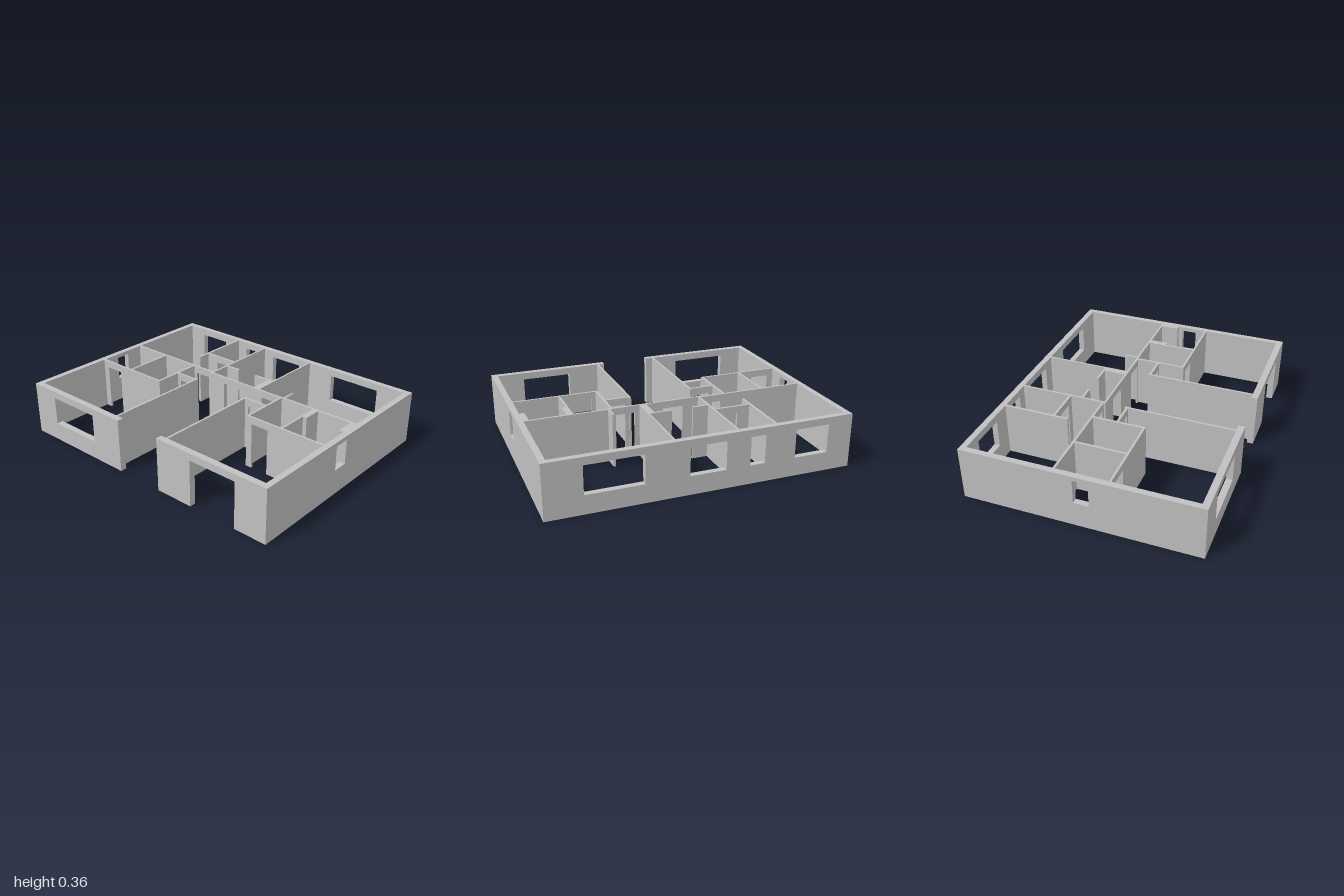
import * as THREE from 'three';

const HEIGHT = 0.363, HEAD = 0.315;

// Upright wall panel in length/height; doors notch the base, windows are holes.
function panel(from, to, thickness, openings, height) {
  const shape = new THREE.Shape();
  shape.moveTo(from, 0);
  const doors = openings.filter(o => o[2] === 0).sort((a, b) => a[0] - b[0]);
  for (const [a, b, , top] of doors) {
    shape.lineTo(a, 0);
    shape.lineTo(a, top);
    shape.lineTo(b, top);
    shape.lineTo(b, 0);
  }
  shape.lineTo(to, 0);
  shape.lineTo(to, height);
  shape.lineTo(from, height);
  shape.closePath();
  for (const [a, b, low, top] of openings.filter(o => o[2] > 0)) {
    const hole = new THREE.Path();
    hole.moveTo(a, low);
    hole.lineTo(a, top);
    hole.lineTo(b, top);
    hole.lineTo(b, low);
    hole.closePath();
    shape.holes.push(hole);
  }
  return new THREE.ExtrudeGeometry(shape, { depth: thickness, bevelEnabled: false });
}

const door = (a, b) => [a, b, 0, HEAD];
const win = (a, b, low = 0.125, top = HEAD) => [a, b, low, top];

export function createModel() {
  const house = new THREE.Group();
  house.name = 'floorPlan';
  const plaster = new THREE.MeshStandardMaterial({ color: 0xc0c0c0 });
  plaster.name = 'grey plaster';

  // Wall running along x, between depths z0 and z1
  function wallX(name, x0, x1, z0, z1, openings = [], height = HEIGHT) {
    const geometry = panel(x0, x1, z1 - z0, openings, height);
    geometry.translate(0, 0, z0);
    add(name, geometry);
  }
  // Wall running along z, between sides x0 and x1
  function wallZ(name, x0, x1, z0, z1, openings = [], height = HEIGHT) {
    const geometry = panel(z0, z1, x1 - x0, openings, height);
    geometry.rotateY(-Math.PI / 2);
    geometry.translate(x1, 0, 0);
    add(name, geometry);
  }
  function add(name, geometry) {
    const mesh = new THREE.Mesh(geometry, plaster);
    mesh.name = name;
    house.add(mesh);
  }

  // Outer shell
  wallX('backWall', -1, 1, -0.778, -0.738,
    [win(-0.83, -0.6), win(-0.39, -0.29), win(-0.13, 0.107), win(0.39, 0.76)]);
  wallX('frontWallWindowSide', -1, -0.17, 0.735, 0.778, [win(-0.8, -0.415)]);
  wallX('frontWallDoorSide', 0.167, 1, 0.735, 0.778, [door(0.435, 0.775)]);
  wallZ('sideWallWindowSide', -1, -0.96, -0.738, 0.735, [win(-0.03, 0.07, 0.17, 0.335)]);
  wallZ('sideWallDoorSide', 0.96, 1, -0.738, 0.735, [win(0.01, 0.115, 0.17, 0.335)]);

  // Back rooms
  wallZ('bedroomPartition', -0.483, -0.466, -0.738, -0.295);
  wallX('washroomWall', -0.466, -0.225, -0.402, -0.386, [door(-0.38, -0.27)]);
  wallZ('kitchenSideWall', -0.225, -0.21, -0.738, -0.152);
  wallX('kitchenStubA', -0.21, -0.105, -0.318, -0.302);
  wallX('kitchenStubB', 0.042, 0.19, -0.318, -0.302);
  wallZ('kitchenPartition', 0.19, 0.203, -0.738, -0.152);
  wallZ('pantryPier', 0.155, 0.19, -0.302, -0.152);
  wallZ('loungeStub', 0.402, 0.417, -0.25, -0.152);

  // Corridor walls
  wallX('corridorWallA', -0.96, -0.225, -0.168, -0.152, [door(-0.37, -0.25)]);
  wallX('corridorWallB', -0.23, 0.385, -0.155, -0.14, [door(-0.1, 0.042), door(0.235, 0.365)]);
  wallX('corridorWallC', 0.385, 0.96, -0.16, -0.144);

  // Bathrooms and closets between corridor and front rooms
  wallZ('closetPartition', -0.692, -0.676, -0.152, 0.185);
  wallZ('closetEndWall', -0.407, -0.39, -0.152, 0.2);
  wallX('closetFrontWall', -0.96, -0.407, 0.185, 0.2, [door(-0.915, -0.785)]);
  wallZ('bathEndWall', 0.382, 0.398, -0.144, 0.2);
  wallX('bathFrontWall', 0.398, 0.96, 0.185, 0.2, [door(0.425, 0.55)]);
  wallZ('bathPartition', 0.642, 0.657, -0.144, 0.185);
  wallZ('showerPierA', 0.657, 0.685, -0.144, -0.02);
  wallZ('showerPierB', 0.925, 0.96, -0.144, -0.02);
  wallZ('bathLedge', 0.657, 0.685, -0.02, 0.185, [], 0.12);

  // Entrance hall
  for (const [side, s] of [['A', -1], ['B', 1]]) {
    const ends = [s * 0.222, s * 0.39].sort((a, b) => a - b);
    wallX('hallReturn' + side, ends[0], ends[1], 0.003, 0.019,
      [door(ends[0] + 0.027, ends[1] - 0.027)]);
  }
  wallZ('hallWallA', -0.232, -0.217, -0.005, 0.735);
  wallZ('hallWallB', 0.207, 0.222, -0.005, 0.735);

  return house;
}
